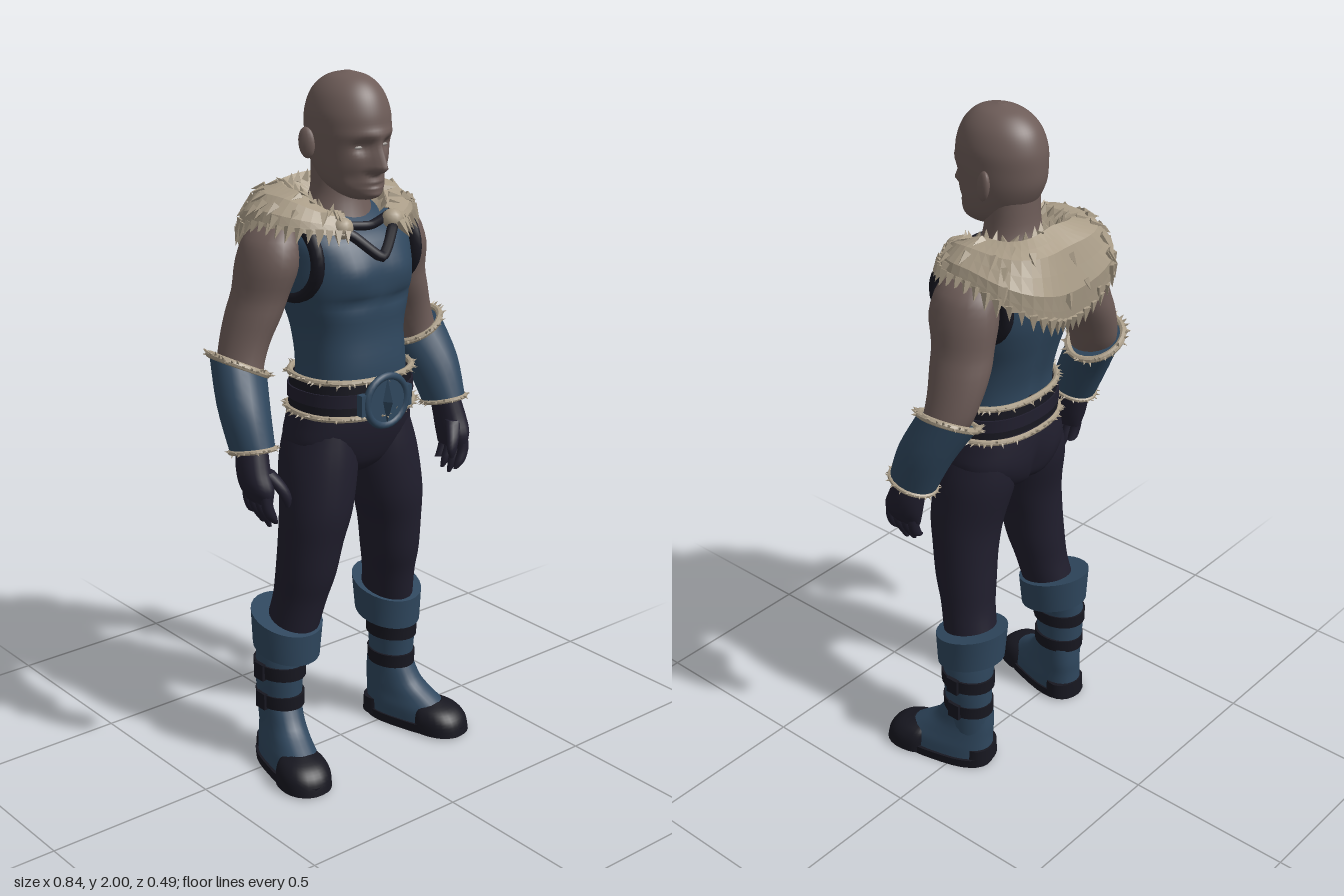
import * as THREE from 'three';
import { mergeGeometries } from 'three/addons/utils/BufferGeometryUtils.js';

const paint = (name, color, side = THREE.FrontSide) => {
  const m = new THREE.MeshStandardMaterial({ color, side });
  m.name = name;
  return m;
};
const V = (x, y, z) => new THREE.Vector3(x, y, z);
const bump = (d, s) => Math.exp(-((d / s) ** 2));
const clamp = THREE.MathUtils.clamp;
let seed = 7;
const rnd = () => (seed = (seed * 16807) % 2147483647) / 2147483647;

// Section: [x, y, z, half width, front depth, back depth, x tilt, z tilt]
function ringPoint([x, y, z, rx, rf, rb = rf, tx = 0, tz = 0], a, pow = 2) {
  const s = Math.sin(a), c = Math.cos(a), e = 2 / pow;
  const dx = Math.sign(s) * Math.abs(s) ** e * rx;
  const dz = Math.sign(c) * Math.abs(c) ** e * (c > 0 ? rf : rb);
  return V(x + dx, y + dx * tx + dz * tz, z + dz);
}

// Smooth skin through horizontal sections, capped at both ends
function loft(sections, { n = 28, sub = 4, pow = 2, warp } = {}) {
  const S = sections.map(s => [s[0], s[1], s[2], s[3], s[4], s[5] ?? s[4], s[6] ?? 0, s[7] ?? 0]);
  if (S[0][1] > S[S.length - 1][1]) S.reverse();
  const rows = [];
  for (let k = 0; k < S.length - 1; k++) {
    const q = [S[Math.max(k - 1, 0)], S[k], S[k + 1], S[Math.min(k + 2, S.length - 1)]];
    for (let j = 0; j < sub; j++) {
      const t = j / sub;
      rows.push(S[k].map((_, i) => {
        const [a, b, c, d] = q.map(r => r[i]);
        return b + 0.5 * t * (c - a + t * (2 * a - 5 * b + 4 * c - d + t * (3 * (b - c) + d - a)));
      }));
    }
  }
  rows.push(S[S.length - 1]);
  const pos = [], idx = [];
  const addRing = row => {
    const start = pos.length / 3;
    for (let i = 0; i < n; i++) {
      const p = ringPoint(row, (i / n) * Math.PI * 2, pow);
      if (warp) warp(p);
      pos.push(p.x, p.y, p.z);
    }
    return start;
  };
  rows.forEach(addRing);
  for (let j = 0; j < rows.length - 1; j++) for (let i = 0; i < n; i++) {
    const a = j * n + i, b = j * n + (i + 1) % n;
    idx.push(a, b, b + n, a, b + n, a + n);
  }
  for (const [row, up] of [[rows[0], false], [rows[rows.length - 1], true]]) {
    const s = addRing(row), c = pos.length / 3;
    pos.push(row[0], row[1], row[2]);
    for (let i = 0; i < n; i++) {
      const j = (i + 1) % n;
      idx.push(c, s + (up ? i : j), s + (up ? j : i));
    }
  }
  const g = new THREE.BufferGeometry();
  g.setAttribute('position', new THREE.Float32BufferAttribute(pos, 3));
  g.setIndex(idx);
  g.computeVertexNormals();
  return g;
}

function flat(g) {
  const f = g.index ? g.toNonIndexed() : g;
  f.computeVertexNormals();
  return f;
}
function tuft(p, dir, len, rad) {
  const g = new THREE.ConeGeometry(rad, len, 4).translate(0, len * 0.3, 0);
  g.applyQuaternion(new THREE.Quaternion().setFromUnitVectors(V(0, 1, 0), dir.clone().normalize()));
  return g.translate(p.x, p.y, p.z);
}
const tube = (pts, r, seg = 20, closed = false) =>
  new THREE.TubeGeometry(new THREE.CatmullRomCurve3(pts, closed, 'catmullrom', 0.3), seg, r, 8, closed);

// Shaggy band following one section
function furRing(section, count, r, pow = 2, lean = 0) {
  const c = V(section[0], section[1], section[2]);
  const pts = Array.from({ length: 24 }, (_, i) => ringPoint(section, (i / 24) * Math.PI * 2, pow));
  const parts = [tube(pts, r, 40, true)];
  for (let i = 0; i < count; i++) {
    const p = ringPoint(section, ((i + rnd() * 0.5) / count) * Math.PI * 2, pow);
    const d = p.clone().sub(c).normalize().add(V(rnd() - 0.5, lean + (rnd() - 0.5) * 1.6, rnd() - 0.5));
    parts.push(tuft(p, d, r * 3, r * 0.9));
  }
  return flat(mergeGeometries(parts));
}

export function createModel() {
  const skin = paint('skin', 0x6d5c58), blue = paint('blue cloth', 0x2f475e);
  const navy = paint('navy cloth', 0x201e2d), black = paint('dark leather', 0x171720);
  const fur = paint('fur', 0xaa9d88, THREE.DoubleSide), eye = paint('eye', 0x9a9490);
  const root = new THREE.Group();
  const add = (name, geo, mat, parent = root) => {
    const m = new THREE.Mesh(geo, mat);
    m.name = name;
    parent.add(m);
    return m;
  };

  // Head, with facial relief pushed out of the skull
  add('head', loft([
    [0, 1.668, 0.08, 0.03, 0.045, 0.04], [0, 1.682, 0.07, 0.055, 0.075, 0.06], [0, 1.71, 0.05, 0.08, 0.098, 0.09],
    [0, 1.75, 0.04, 0.094, 0.11, 0.115], [0, 1.8, 0.03, 0.102, 0.125, 0.13], [0, 1.85, 0.03, 0.105, 0.132, 0.136],
    [0, 1.9, 0.03, 0.103, 0.128, 0.133], [0, 1.95, 0.03, 0.085, 0.107, 0.112], [0, 1.985, 0.03, 0.052, 0.068, 0.068],
    [0, 2.0, 0.03, 0.008, 0.01, 0.01]], { n: 64, sub: 6, warp: p => {
    if (p.z < 0.07) return;
    const { x, y } = p, ax = Math.abs(x);
    const ramp = y > 1.755 ? clamp((1.84 - y) / 0.085, 0, 1) : clamp((y - 1.735) / 0.02, 0, 1);
    p.z += 0.046 * ramp * bump(x, 0.011 + 0.012 * ramp)
      - 0.018 * bump(ax - 0.04, 0.022) * bump(y - 1.814, 0.018)
      + 0.009 * bump(y - 1.845, 0.014) * bump(x, 0.075)
      + 0.01 * bump(x, 0.035) * bump(y - 1.71, 0.016)
      - 0.009 * bump(x, 0.03) * bump(y - 1.71, 0.004)
      + 0.008 * bump(x, 0.03) * bump(y - 1.682, 0.012)
      - 0.008 * bump(ax - 0.06, 0.02) * bump(y - 1.73, 0.025);
  } }), skin);
  add('neck', loft([[0, 1.76, -0.01, 0.078, 0.075, 0.07], [0, 1.68, -0.01, 0.08, 0.075, 0.075],
    [0, 1.62, -0.02, 0.1, 0.1, 0.09], [0, 1.57, -0.02, 0.12, 0.12, 0.1]]), skin);

  // Sleeveless tunic with chest and spine relief
  add('tunic', loft([
    [0, 1.07, 0.04, 0.165, 0.13, 0.13], [0, 1.2, 0.04, 0.154, 0.138, 0.13], [0, 1.3, 0.03, 0.155, 0.138, 0.145],
    [0, 1.38, 0.02, 0.175, 0.152, 0.16], [0, 1.44, 0.01, 0.188, 0.166, 0.165], [0, 1.5, 0, 0.19, 0.172, 0.16],
    [0, 1.56, 0, 0.19, 0.145, 0.155], [0, 1.6, -0.01, 0.165, 0.11, 0.13], [0, 1.64, -0.02, 0.1, 0.06, 0.09]],
  { n: 48, pow: 2.4, warp: p => {
    const ax = Math.abs(p.x);
    if (p.z > 0.05) p.z += 0.012 * bump(ax - 0.08, 0.06) * bump(p.y - 1.47, 0.05)
      - 0.01 * bump(p.y - 1.395, 0.015) * bump(ax - 0.07, 0.07);
    if (p.z < -0.04) p.z += 0.018 * bump(p.x, 0.025);
  } }), blue);
  const vNeck = [V(-0.125, 1.615, 0.075), V(-0.07, 1.58, 0.135), V(0, 1.52, 0.175), V(0.07, 1.58, 0.135), V(0.125, 1.615, 0.075)];
  add('neckTrim', tube(vNeck, 0.015, 32), black);
  add('collarEdge', tube([V(-0.12, 1.605, 0.07), V(0, 1.595, 0.118), V(0.12, 1.605, 0.07)], 0.013), black);

  // Hips, belt and buckle
  add('hips', loft([[0, 0.885, 0.03, 0.06, 0.06, 0.07], [0, 0.92, 0.03, 0.14, 0.1, 0.12], [0, 0.98, 0.03, 0.195, 0.125, 0.14],
    [0, 1.05, 0.035, 0.186, 0.135, 0.143], [0, 1.13, 0.04, 0.168, 0.132, 0.135]], { n: 40, pow: 2.3, warp: p => {
    if (p.z < -0.03) p.z += 0.02 * bump(p.x, 0.02) * bump(p.y - 0.95, 0.07);
  } }), navy);
  const band = (y, r = 0) => [0, y, 0.04, 0.176 + r, 0.148 + r, 0.138 + r];
  add('belt', loft([band(1.085, 0.004), band(1.175)], { n: 40, pow: 2.3 }), black);
  add('beltStrap', loft([band(1.112, 0.007), band(1.148, 0.006)], { n: 40, pow: 2.3 }), navy);
  add('beltUpperFur', furRing(band(1.182), 60, 0.009, 2.3), fur);
  add('beltLowerFur', furRing(band(1.08, 0.006), 60, 0.009, 2.3), fur);
  const buckle = new THREE.Group();
  buckle.name = 'buckle';
  buckle.position.set(0, 1.12, 0.19);
  root.add(buckle);
  add('buckleDisc', new THREE.CylinderGeometry(0.07, 0.07, 0.024, 24).rotateX(Math.PI / 2), blue, buckle);
  add('buckleRim', new THREE.TorusGeometry(0.07, 0.011, 8, 28).translate(0, 0, 0.008), blue, buckle);
  add('buckleBar', new THREE.BoxGeometry(0.18, 0.06, 0.022), blue, buckle);
  add('buckleRidge', new THREE.OctahedronGeometry(1).scale(0.02, 0.085, 0.03).translate(0, 0, 0.005), blue, buckle);

  // Fur mantle: front, side and back profiles [radius, height] blended around the neck
  const profiles = [
    [[0.13, 1.615], [0.15, 1.635], [0.17, 1.63], [0.185, 1.61], [0.2, 1.585]],
    [[0.085, 1.65], [0.13, 1.685], [0.19, 1.675], [0.235, 1.64], [0.25, 1.6]],
    [[0.05, 1.66], [0.11, 1.705], [0.17, 1.665], [0.202, 1.55], [0.185, 1.445]]];
  const mantlePoint = (a, v) => {
    const b = Math.abs(a), f = clamp(b < Math.PI / 2 ? (b - 0.5) / (Math.PI / 2 - 0.5) : b / (Math.PI / 2) - 1, 0, 1);
    const [A, B] = b < Math.PI / 2 ? profiles : profiles.slice(1), w = f * f * (3 - 2 * f);
    const k = Math.min(Math.floor(v), 3), t = v - k;
    const mix = i => THREE.MathUtils.lerp(A[k][i] + (A[k + 1][i] - A[k][i]) * t, B[k][i] + (B[k + 1][i] - B[k][i]) * t, w);
    const r = mix(0) * (b > Math.PI / 2 ? 1 + 0.17 * Math.sin(2 * b) ** 2 : 1);
    return V(r * Math.sin(a), mix(1), -0.03 + r * Math.cos(a));
  };
  const nu = 44, nv = 8, mp = [], mi = [];
  const mantleAngle = i => 0.5 + (i / nu) * (2 * Math.PI - 1);
  const wrap = a => (a > Math.PI ? a - 2 * Math.PI : a);
  for (let i = 0; i <= nu; i++) for (let j = 0; j <= nv; j++) {
    const p = mantlePoint(wrap(mantleAngle(i)), (j / nv) * 4 - (j === nv && i % 2 ? 0.2 : 0));
    mp.push(p.x, p.y, p.z);
    if (i < nu && j < nv) {
      const q = i * (nv + 1) + j, s = q + nv + 1;
      mi.push(q, q + 1, s + 1, q, s + 1, s);
    }
  }
  const mantle = new THREE.BufferGeometry();
  mantle.setAttribute('position', new THREE.Float32BufferAttribute(mp, 3));
  mantle.setIndex(mi);
  add('mantle', flat(mantle), fur);
  const tufts = [];
  const mantleTuft = (i, v, lift, len) => {
    const a = wrap(mantleAngle(i)), p = mantlePoint(a, v);
    const d = p.clone().sub(mantlePoint(a, v - 0.3)).normalize();
    tufts.push(tuft(p, d.add(V(Math.sin(a) * lift, 0, Math.cos(a) * lift)), len, len * 0.32));
  };
  for (let i = 0; i <= nu; i++) mantleTuft(i, 3.85, 0.15, 0.035 + rnd() * 0.02);
  for (let i = 0; i < 50; i++) mantleTuft(rnd() * nu, 0.6 + rnd() * 3, 0.25, 0.03 + rnd() * 0.02);
  for (let i = 2; i < nu; i += 2) tufts.push(tuft(mantlePoint(wrap(mantleAngle(i)), 0.7), V(rnd() - 0.5, 1, rnd() - 0.5), 0.035, 0.014));
  add('mantleTufts', flat(mergeGeometries(tufts)), fur);

  // Everything paired: left side built once, then mirrored
  const side = new THREE.Group();
  side.name = 'leftSide';
  add('eye', new THREE.SphereGeometry(1, 12, 8).scale(0.017, 0.005, 0.008).translate(0.04, 1.812, 0.126), eye, side);
  add('ear', new THREE.SphereGeometry(1, 14, 12).scale(0.013, 0.042, 0.025).rotateY(-0.35).rotateX(-0.15).translate(0.113, 1.815, -0.005), skin, side);
  add('mantleClasp', new THREE.SphereGeometry(0.03, 14, 10).translate(0.088, 1.6, 0.115), fur, side);
  add('armholeTrim', new THREE.TorusGeometry(0.108, 0.018, 8, 32).rotateY(Math.PI / 2).scale(1, 1, 1.15).translate(0.172, 1.51, -0.01), black, side);
  add('arm', loft([[0.19, 1.615, -0.03, 0.03, 0.04], [0.212, 1.57, -0.033, 0.068, 0.085], [0.228, 1.5, -0.035, 0.078, 0.103],
    [0.245, 1.42, -0.045, 0.072, 0.092], [0.265, 1.36, -0.052, 0.07, 0.09], [0.292, 1.29, -0.055, 0.064, 0.08],
    [0.315, 1.22, -0.045, 0.06, 0.07], [0.33, 1.15, -0.01, 0.05, 0.055]], { n: 20, sub: 3 }), skin, side);
  const cuffTop = [0.317, 1.225, -0.052, 0.076, 0.08, 0.083, 0.5, 0], cuffEnd = [0.35, 1.015, 0.052, 0.058, 0.066, 0.07, 0.05, 0.25];
  add('bracer', loft([cuffEnd, [0.343, 1.12, 0.005, 0.071, 0.076, 0.078, 0.25, 0.12], cuffTop], { n: 20 }), blue, side);
  add('bracerTopFur', furRing(cuffTop, 34, 0.01, 2, 0.4), fur, side);
  add('bracerEndFur', furRing(cuffEnd, 26, 0.007), fur, side);
  // Gloved hand
  add('palm', loft([[0.352, 1.03, 0.05, 0.04, 0.05], [0.36, 0.97, 0.065, 0.042, 0.056], [0.36, 0.92, 0.08, 0.038, 0.062],
    [0.354, 0.88, 0.083, 0.022, 0.055]], { n: 18 }), navy, side);
  [[0.125, 0.82], [0.097, 0.803], [0.068, 0.81], [0.042, 0.835]].forEach(([z, tip], i) => {
    add('finger' + (i + 1), loft([[0.36, 0.91, z, 0.017, 0.016], [0.36, 0.875, z + 0.003, 0.017, 0.015],
      [0.346, 0.84, z + 0.004, 0.015, 0.014], [0.332, tip, z + 0.002, 0.006, 0.006]], { n: 10, sub: 3 }), navy, side);
  });
  add('thumb', loft([[0.342, 0.965, 0.1, 0.024, 0.022], [0.318, 0.925, 0.128, 0.02, 0.018], [0.304, 0.89, 0.14, 0.015, 0.014],
    [0.302, 0.865, 0.142, 0.006, 0.006]], { n: 10, sub: 3 }), navy, side);
  // Trouser leg
  add('leg', loft([[0.1, 1.03, 0.03, 0.085, 0.115], [0.11, 0.93, 0.035, 0.106, 0.122], [0.13, 0.8, 0.05, 0.102, 0.11],
    [0.146, 0.7, 0.045, 0.09, 0.1], [0.157, 0.6, 0.035, 0.082, 0.094], [0.167, 0.52, 0.02, 0.074, 0.085],
    [0.18, 0.43, 0, 0.07, 0.085], [0.19, 0.37, -0.01, 0.065, 0.08]]), navy, side);
  // Boot
  add('bootCuff', loft([[0.193, 0.355, -0.013, 0.094, 0.103, 0.103, 0, -0.2], [0.19, 0.455, -0.013, 0.1, 0.11, 0.112, 0, -0.25]], { sub: 1 }), blue, side);
  add('bootShaft', loft([[0.195, 0.4, -0.015, 0.07, 0.083], [0.214, 0.31, -0.018, 0.066, 0.08], [0.215, 0.2, -0.02, 0.06, 0.074],
    [0.212, 0.1, -0.018, 0.058, 0.07]]), blue, side);
  [0.3, 0.205].forEach((y, i) => {
    const k = 0.005 * i;
    add('bootStrap', loft([[0.214, y - 0.02, -0.018, 0.07 - k, 0.085 - k], [0.214, y + 0.02, -0.018, 0.071 - k, 0.086 - k]], { sub: 1 }), black, side);
    add('bootStrapBuckle', new THREE.BoxGeometry(0.012, 0.05, 0.04).translate(0.285 - k, y, -0.02), black, side);
  });
  const foot = new THREE.Group();
  foot.name = 'foot';
  foot.position.set(0.212, 0, -0.02);
  foot.rotation.y = 0.25;
  side.add(foot);
  add('sole', loft([[0.005, 0, 0.06, 0.074, 0.205, 0.135], [0.005, 0.028, 0.06, 0.076, 0.207, 0.137]], { pow: 2.5, sub: 1 }), black, foot);
  add('shoe', loft([[0.004, 0.02, 0.055, 0.07, 0.195, 0.128], [0.003, 0.06, 0.045, 0.068, 0.18, 0.118], [0.002, 0.095, 0.02, 0.062, 0.15, 0.093],
    [0, 0.135, 0.005, 0.058, 0.105, 0.08], [0, 0.19, 0, 0.056, 0.074, 0.072]], { pow: 2.3 }), blue, foot);
  add('toeCap', loft([[0.006, 0.005, 0.17, 0.078, 0.1, 0.05], [0.006, 0.045, 0.165, 0.076, 0.095, 0.05], [0.006, 0.073, 0.155, 0.06, 0.076, 0.04],
    [0.006, 0.088, 0.145, 0.03, 0.04, 0.025]], { pow: 2.3 }), black, foot);
  add('heelGuard', loft([[0, 0.01, -0.03, 0.062, 0.04, 0.05], [0, 0.06, -0.03, 0.06, 0.035, 0.048]], { pow: 2.3 }), black, foot);
  const other = side.clone();
  other.name = 'rightSide';
  other.scale.x = -1;
  root.add(side, other);
  return root;
}
